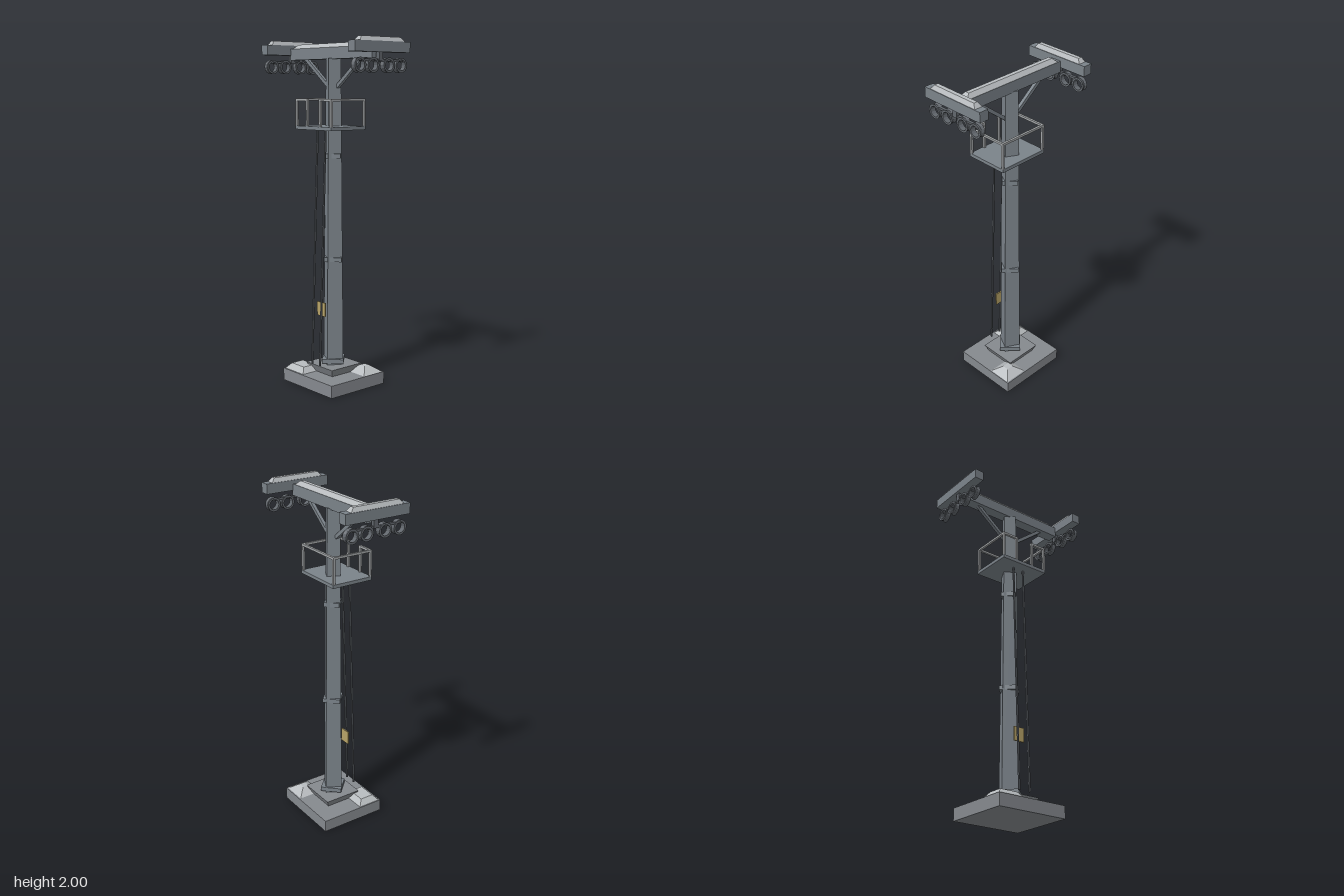
import * as THREE from 'three';

const mat = (name, color) => {
  const m = new THREE.MeshStandardMaterial({ color, flatShading: true });
  m.name = name;
  return m;
};

export function createModel() {
  const concrete = mat('concrete', 0x85898e);
  const steel = mat('steel', 0x7b838a);
  const darkSteel = mat('darkSteel', 0x62676d);
  const railing = mat('railing', 0xa3a6a8);
  const snow = mat('snow', 0xb9bdc0);
  const yellow = mat('signYellow', 0xb8a468);
  const model = new THREE.Group();
  model.name = 'cablewayTower';

  const add = (name, geo, material, x = 0, y = 0, z = 0, parent = model) => {
    const m = new THREE.Mesh(geo, material);
    m.name = name;
    m.position.set(x, y, z);
    parent.add(m);
    return m;
  };
  // box given by its limits, with the top (or bottom, if negative) inset
  const block = (name, material, [x0, x1], [y0, y1], [z0, z1], insetX = 0, insetZ = 0, parent = model) => {
    const g = new THREE.BoxGeometry(x1 - x0, y1 - y0, z1 - z0);
    const p = g.attributes.position;
    for (let i = 0; i < p.count; i++) {
      if (p.getY(i) * (insetX < 0 ? -1 : 1) < 0) continue;
      p.setX(i, p.getX(i) - Math.sign(p.getX(i)) * Math.abs(insetX));
      p.setZ(i, p.getZ(i) - Math.sign(p.getZ(i)) * Math.abs(insetZ));
    }
    g.computeVertexNormals();
    return add(name, g, material, (x0 + x1) / 2, (y0 + y1) / 2, (z0 + z1) / 2, parent);
  };
  // square bar between two points
  const bar = (name, material, a, b, w, parent = model) => {
    const A = new THREE.Vector3(...a), B = new THREE.Vector3(...b);
    const m = add(name, new THREE.BoxGeometry(w, w, A.distanceTo(B)), material, 0, 0, 0, parent);
    m.position.copy(A).add(B).multiplyScalar(0.5);
    m.lookAt(B);
    return m;
  };

  // foundation and drifts
  block('foundation', concrete, [-0.22, 0.22], [0, 0.072], [-0.203, 0.203]);
  block('pedestal', concrete, [-0.116, 0.116], [0.072, 0.117], [-0.118, 0.112], -0.02, -0.02);
  block('snowDriftFront', snow, [-0.216, -0.045], [0.07, 0.104], [0.052, 0.196], 0.03, 0.03);
  block('snowDriftBack', snow, [0.065, 0.216], [0.07, 0.11], [-0.197, -0.048], 0.055, 0.055);

  // tapered square mast with collars turned against it
  add('mast', new THREE.CylinderGeometry(0.05, 0.068, 1.78, 4), steel, 0, 1.005, 0).rotation.y = 0.3;
  for (const [y, r] of [[0.14, 0.088], [0.745, 0.072], [1.345, 0.062]])
    add('collar', new THREE.CylinderGeometry(r, r, 0.026, 4), steel, 0, y, 0);

  // ladder rails and sign
  for (const s of [-1, 1])
    bar('ladderRail', darkSteel, [s * 0.035, 0.13, 0.133], [s * 0.035, 1.5, 0.088], 0.009);
  block('sign', yellow, [-0.036, 0.032], [0.416, 0.497], [0.086, 0.094]);

  // work platform with railing, open at the front middle
  const platform = new THREE.Group();
  platform.name = 'platform';
  model.add(platform);
  block('deck', steel, [-0.157, 0.157], [1.495, 1.515], [-0.105, 0.152], 0, 0, platform);
  const top = 1.663, zb = -0.098, zf = 0.145;
  for (const s of [-1, 1]) {
    for (const [x, z] of [[0.15, zb], [0.15, zf], [0.057, zf]])
      bar('railPost', railing, [s * x, 1.512, z], [s * x, top, z], 0.013, platform);
    bar('sideRail', railing, [s * 0.15, top, zb - 0.006], [s * 0.15, top, zf + 0.006], 0.013, platform);
    bar('frontRail', railing, [s * 0.05, top, zf], [s * 0.15, top, zf], 0.013, platform);
  }
  bar('backRail', railing, [-0.15, top, zb], [0.15, top, zb], 0.013, platform);

  // crossbeam
  block('crossbeam', steel, [-0.352, 0.352], [1.89, 1.955], [-0.034, 0.032]);
  block('beamSnow', snow, [-0.332, 0.332], [1.954, 1.979], [-0.033, 0.031], 0.03, 0.02);

  // grooved wheel ring
  const profile = [[0.029, -0.016], [0.041, -0.016], [0.036, 0], [0.041, 0.016], [0.029, 0.016], [0.029, -0.016]]
    .map(([r, h]) => new THREE.Vector2(r, h));
  const wheel = new THREE.LatheGeometry(profile, 14).rotateZ(Math.PI / 2);

  // braces, end heads and cable wheels on both sides
  for (const s of [-1, 1]) {
    bar('brace', steel, [s * 0.035, 1.735, 0], [s * 0.24, 1.897, 0], 0.02);
    const head = new THREE.Group();
    head.name = s > 0 ? 'leftHead' : 'rightHead';
    head.position.x = s * 0.377;
    model.add(head);
    block('headBeam', steel, [-0.028, 0.028], [1.918, 1.976], [-0.203, 0.203], 0, 0, head);
    block('headSnow', snow, [-0.025, 0.025], [1.975, 2], [-0.165, 0.165], 0.013, 0.02, head);
    block('wheelBar', darkSteel, [-0.008, 0.008], [1.87, 1.882], [-0.165, 0.165], 0, 0, head);
    block('hanger', darkSteel, [-0.012, 0.012], [1.87, 1.92], [-0.014, 0.014], 0, 0, head);
    for (const z of [-0.15, -0.058, 0.058, 0.152])
      add('cableWheel', wheel, darkSteel, 0, 1.85, z, head);
  }
  return model;
}
